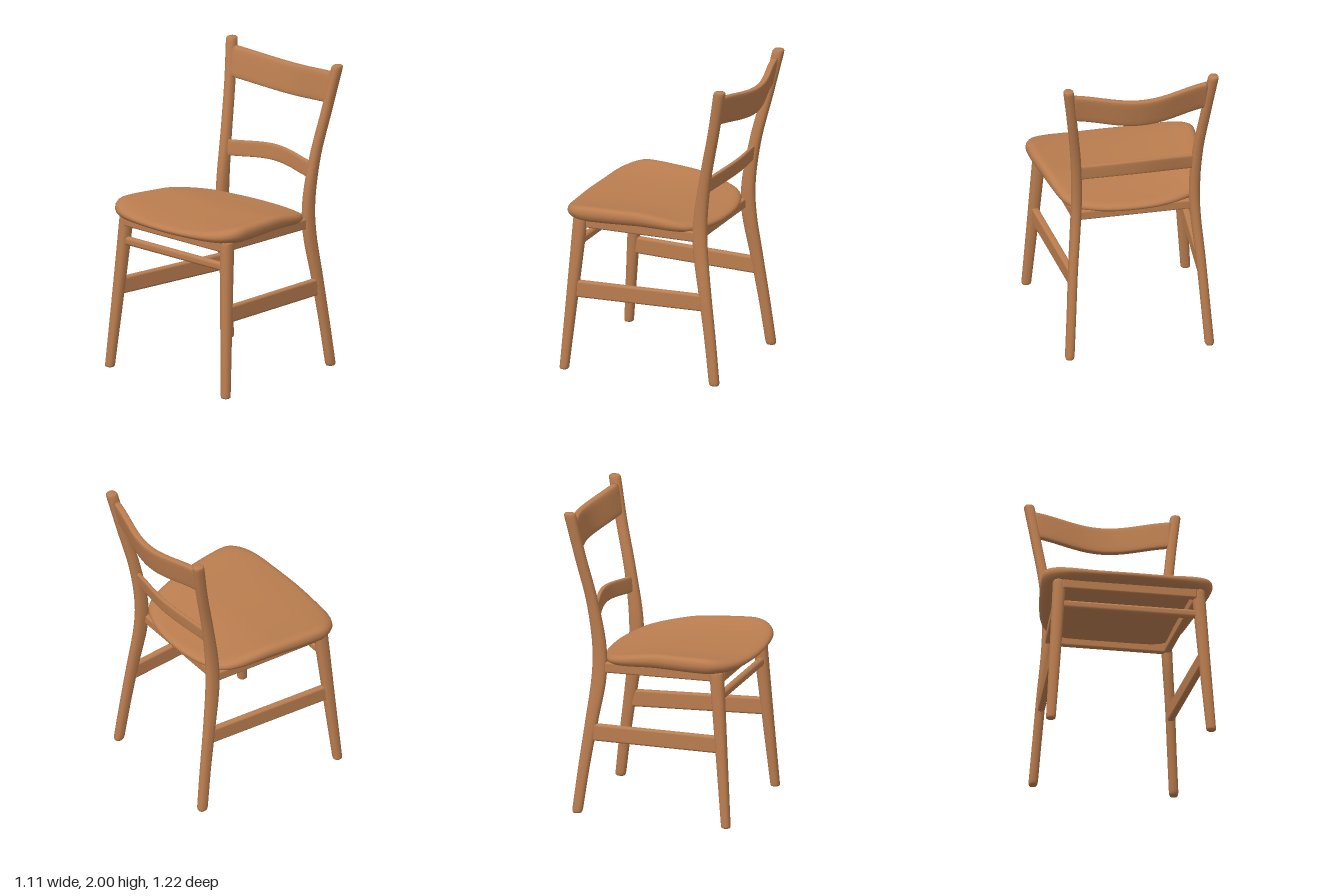
import * as THREE from 'three';
import { RoundedBoxGeometry } from 'three/addons/geometries/RoundedBoxGeometry.js';

const wood = new THREE.MeshStandardMaterial({ color: 0xba7d4f });
wood.name = 'warm wood';

const lerp = THREE.MathUtils.lerp;
const smooth = THREE.MathUtils.smoothstep;
const rounded = (v, p) => Math.sign(v) * Math.abs(v) ** p;

// Smooth closed skin over rows of rings; point(row, angle) gives [x, y, z]
function skin(rows, cols, point) {
  const pos = [], idx = [];
  for (let i = 0; i < rows; i++) {
    for (let j = 0; j < cols; j++) pos.push(...point(i, (j / cols) * Math.PI * 2));
  }
  for (let i = 0; i < rows - 1; i++) {
    for (let j = 0; j < cols; j++) {
      const k = (j + 1) % cols;
      const a = i * cols + j, b = a + cols, c = i * cols + k, d = c + cols;
      idx.push(a, b, c, c, b, d);
    }
  }
  const geo = new THREE.BufferGeometry();
  geo.setAttribute('position', new THREE.Float32BufferAttribute(pos, 3));
  geo.setIndex(idx);
  geo.computeVertexNormals();
  return geo;
}

// Upright post through stations [x, y, z, radiusX, radiusZ], with softened ends
function post(stations, side) {
  const path = new THREE.CatmullRomCurve3(stations.map(s => new THREE.Vector3(s[0], s[1], s[2])));
  const radii = new THREE.CatmullRomCurve3(stations.map(s => new THREE.Vector3(s[3], 0, s[4])));
  const ends = [[0, 0], [0, 0.8], [0.004, 0.95], [0.012, 1]];
  const rows = [...ends];
  for (let i = 1; i < 40; i++) rows.push([lerp(0.012, 0.988, i / 40), 1]);
  rows.push(...ends.map(([t, k]) => [1 - t, k]).reverse());
  return skin(rows.length, 20, (i, a) => {
    const [t, k] = rows[i];
    const c = path.getPoint(t), r = radii.getPoint(t);
    return [
      c.x * side + rounded(Math.cos(a), 0.85) * r.x * k,
      c.y,
      c.z + rounded(Math.sin(a), 0.85) * r.z * k,
    ];
  });
}

// Bowed back slat: the middle sits further back than the ends
function slat({ half, zEnd, zMid, yEnd, yMid, height, thick, lean }) {
  const n = 36;
  return skin(n + 3, 32, (i, a) => {
    const u = THREE.MathUtils.clamp((i - 1) / n, 0, 1) * 2 - 1;
    const k = i === 0 || i === n + 2 ? 0 : 1;
    const bow = (1 + Math.cos(u * Math.PI * 0.85)) / 2;
    const dy = rounded(Math.sin(a), 0.4) * height / 2 * k;
    const dz = rounded(Math.cos(a), 0.4) * thick / 2 * k;
    return [u * half, lerp(yEnd, yMid, bow) + dy, lerp(zEnd, zMid, bow) + dz - dy * lean];
  });
}

// Saddle seat: raised at the sides, dropping towards the back
function seat() {
  const half = [
    [0, 0.612], [0.2, 0.603], [0.4, 0.575], [0.5, 0.525], [0.55, 0.45], [0.553, 0.36],
    [0.525, 0.13], [0.495, -0.05], [0.455, -0.2], [0.4, -0.285], [0.3, -0.335], [0.15, -0.373],
  ];
  const mirrored = half.slice(1).reverse().map(([x, z]) => [-x, z]);
  const outline = new THREE.CatmullRomCurve3(
    [...half, [0, -0.382], ...mirrored].map(([x, z]) => new THREE.Vector3(x, 0, z)), true);
  const cols = 96, rim = outline.getSpacedPoints(cols);
  // [scale, height fraction] from the underside centre, round the rim, to the top centre
  const profile = [
    [0, 0], [0.3, 0], [0.6, 0], [0.85, 0], [0.92, 0.04], [0.965, 0.15], [0.99, 0.32], [1, 0.5],
    [0.995, 0.68], [0.98, 0.83], [0.95, 0.94], [0.91, 0.99], [0.85, 1], [0.75, 1],
    [0.6, 1], [0.45, 1], [0.3, 1], [0.15, 1], [0, 1],
  ];
  const zc = 0.12;
  return skin(profile.length, cols, (i, a) => {
    const [s, t] = profile[i];
    // The outline runs front to side, so it is walked backwards here
    const p = rim[(cols - Math.round(a / (Math.PI * 2) * cols)) % cols];
    const x = p.x * s, z = zc + (p.z - zc) * s;
    const back = 1 - smooth(z, -0.4, 0.1);
    const top = 1.072 - 0.045 * back - 0.012 * smooth(z, 0.4, 0.6)
      + 0.042 * (Math.abs(x) / 0.5) ** 2.5 * (1 - 0.4 * back);
    const bottom = 1.008 - 0.035 * back;
    return [x, lerp(bottom, top, t), z];
  });
}

// Straight rounded rail between two points
function rail(from, to, width, height, radius) {
  const a = new THREE.Vector3(...from), b = new THREE.Vector3(...to);
  const mesh = new THREE.Mesh(new RoundedBoxGeometry(width, height, a.distanceTo(b), 4, radius), wood);
  mesh.position.copy(a).lerp(b, 0.5);
  mesh.lookAt(b);
  return mesh;
}

export function createModel() {
  const chair = new THREE.Group();
  chair.name = 'chair';
  const add = (name, part) => {
    const mesh = part.isMesh ? part : new THREE.Mesh(part, wood);
    mesh.name = name;
    chair.add(mesh);
  };

  add('seat', seat());

  for (const [side, label] of [[1, 'left'], [-1, 'right']]) {
    // Legs
    add(label + 'FrontLeg', post([
      [0.524, 0, 0.547, 0.031, 0.03],
      [0.488, 0.5, 0.505, 0.037, 0.038],
      [0.453, 1.02, 0.462, 0.042, 0.047],
    ], side));
    add(label + 'BackPost', post([
      [0.46, 0, -0.477, 0.03, 0.034],
      [0.44, 0.3, -0.438, 0.03, 0.037],
      [0.42, 0.6, -0.393, 0.031, 0.042],
      [0.395, 0.9, -0.35, 0.033, 0.049],
      [0.388, 1.1, -0.35, 0.034, 0.046],
      [0.402, 1.4, -0.394, 0.033, 0.038],
      [0.438, 1.7, -0.462, 0.032, 0.037],
      [0.478, 2, -0.523, 0.034, 0.039],
    ], side));
    // Side rails
    add(label + 'Stretcher', rail([side * 0.484, 0.54, 0.5], [side * 0.422, 0.536, -0.39], 0.045, 0.112, 0.015));
    add(label + 'Apron', rail([side * 0.445, 0.985, 0.46], [side * 0.385, 0.965, -0.34], 0.045, 0.07, 0.012));
  }

  // Cross rails
  add('frontApron', rail([-0.44, 0.985, 0.49], [0.44, 0.985, 0.49], 0.045, 0.07, 0.012));
  add('backApron', rail([-0.39, 0.963, -0.32], [0.39, 0.963, -0.32], 0.04, 0.065, 0.012));
  add('frontStretcher', rail([-0.45, 0.847, 0.478], [0.45, 0.847, 0.478], 0.045, 0.056, 0.02));

  // Back slats
  add('topSlat', slat({
    half: 0.445, zEnd: -0.487, zMid: -0.568, yEnd: 1.855, yMid: 1.81,
    height: 0.195, thick: 0.052, lean: 0.2,
  }));
  add('lowerSlat', slat({
    half: 0.4, zEnd: -0.375, zMid: -0.435, yEnd: 1.305, yMid: 1.338,
    height: 0.102, thick: 0.03, lean: 0.12,
  }));
  return chair;
}
